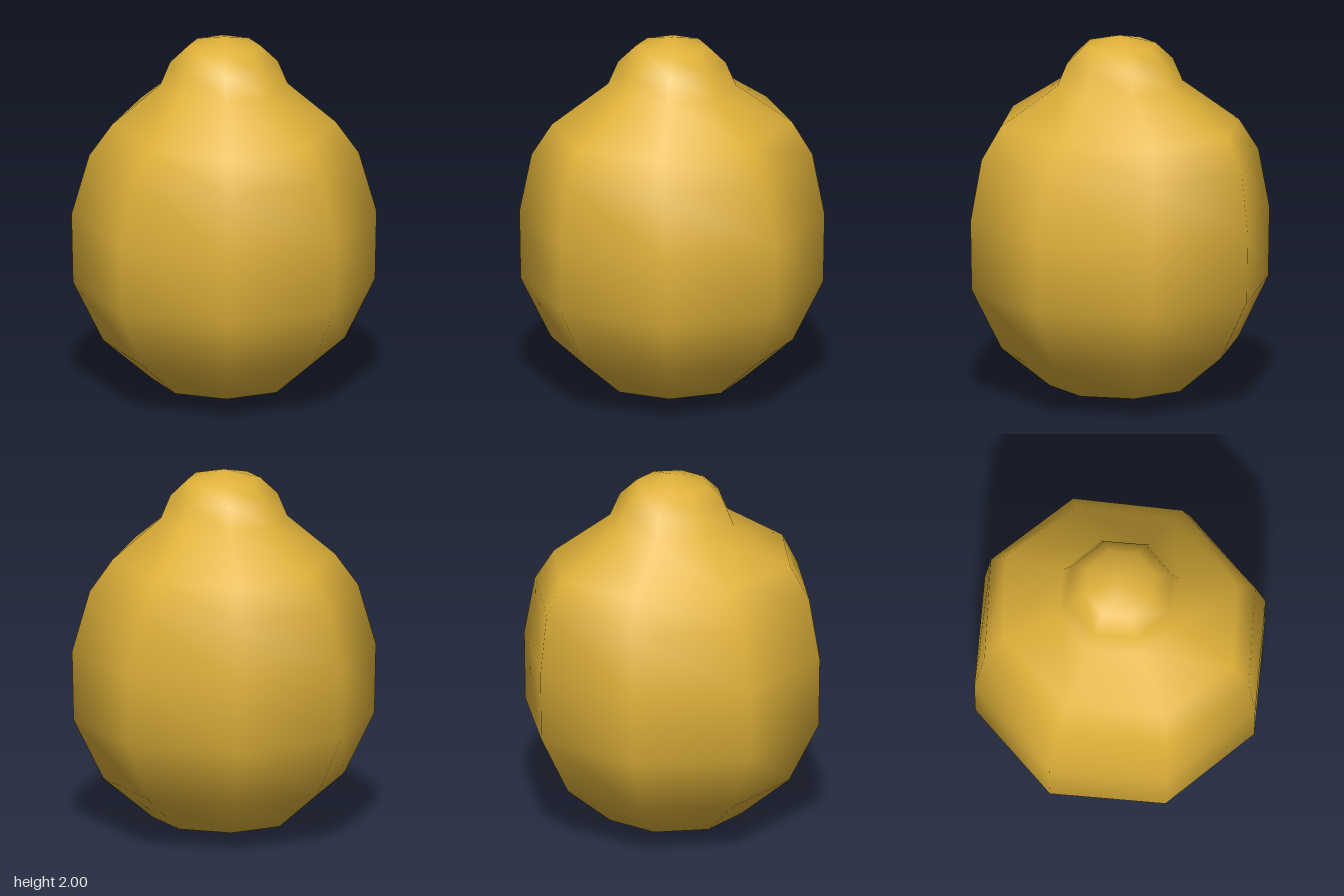
import * as THREE from 'three';
import { mergeVertices } from 'three/addons/utils/BufferGeometryUtils.js';

// Rings from the base to the tip: [height, half width in x, half depth in z]
const RINGS = [
  [0, 0, 0],
  [0.08, 0.385, 0.385],
  [0.3, 0.65, 0.65],
  [0.63, 0.812, 0.815],
  [1.01, 0.82, 0.82],
  [1.34, 0.725, 0.782],
  [1.515, 0.6, 0.688],
  [1.735, 0.342, 0.345],
  [1.86, 0.29, 0.29],
  [1.95, 0.195, 0.195],
  [2, 0, 0],
];
const SIDES = 8;

export function createModel() {
  const model = new THREE.Group();
  model.name = 'lemon';

  const peel = new THREE.MeshStandardMaterial({ color: 0xe0b23a });
  peel.name = 'lemon yellow';

  // Eight-sided lathe, with the shoulders stretched a little in z
  let geometry = new THREE.LatheGeometry(RINGS.map(([y, rx]) => new THREE.Vector2(rx, y)), SIDES);
  const position = geometry.attributes.position;
  for (let i = 0; i < position.count; i++) {
    const [, rx, rz] = RINGS[i % RINGS.length];
    if (rx > 0) position.setZ(i, position.getZ(i) * rz / rx);
  }

  // Weld the seam and the poles so the whole skin shades smoothly
  geometry.deleteAttribute('normal');
  geometry.deleteAttribute('uv');
  geometry = mergeVertices(geometry);
  geometry.computeVertexNormals();

  const fruit = new THREE.Mesh(geometry, peel);
  fruit.name = 'fruit';
  model.add(fruit);
  return model;
}
